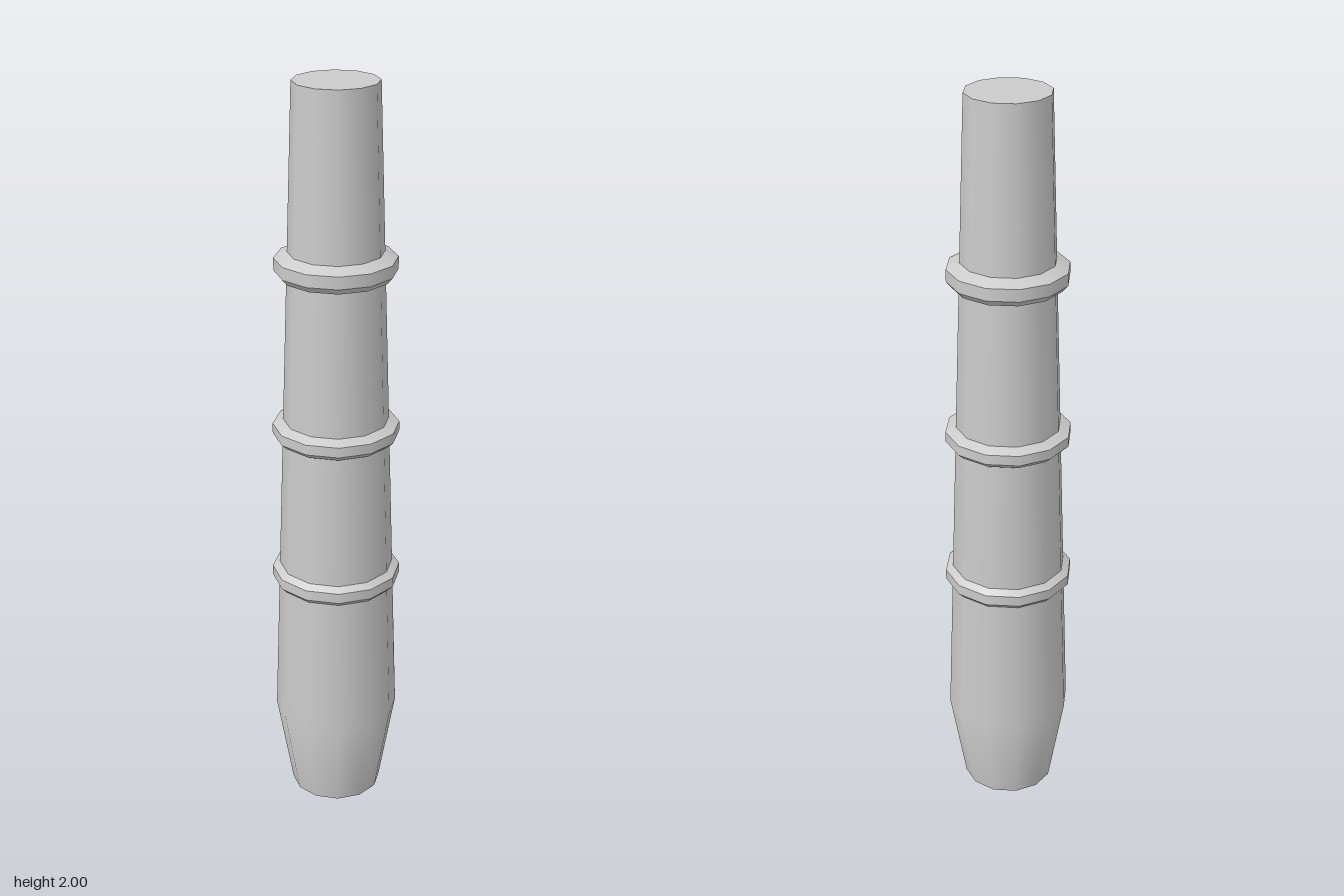
import * as THREE from 'three';
import { mergeGeometries } from 'three/addons/utils/BufferGeometryUtils.js';

const SIDES = 12;
const material = new THREE.MeshStandardMaterial({ color: 0xcccccc });

// Twelve-sided surface of revolution from [radius, y] points, listed bottom to top
const lathe = (points) =>
  new THREE.LatheGeometry(points.map(([r, y]) => new THREE.Vector2(r, y)), SIDES);

// Same, but with a sharp edge between neighbouring bands
const sharpLathe = (points) =>
  mergeGeometries(points.slice(1).map((p, i) => lathe([points[i], p])));

// Radius of the tapering shaft at height y
const shaftRadius = (y) => THREE.MathUtils.lerp(0.166, 0.11, (y - 0.25) / 1.75);

export function createModel() {
  const group = new THREE.Group();
  const add = (name, geometry) => {
    const mesh = new THREE.Mesh(geometry, material);
    mesh.name = name;
    group.add(mesh);
  };

  // Shaft: flared foot, long taper, flat ends
  add('shaft', mergeGeometries([
    lathe([[0.122, 0], [0.166, 0.25], [0.11, 2]]),
    lathe([[0, 0], [0.122, 0]]),
    lathe([[0.11, 2], [0, 2]]),
  ]));

  // Collars: sloped top, upright rim, bevelled underside
  const collars = [
    { name: 'lowerCollar', bottom: 0.64, top: 0.695, radius: 0.171 },
    { name: 'middleCollar', bottom: 1.06, top: 1.114, radius: 0.166 },
    { name: 'upperCollar', bottom: 1.504, top: 1.57, radius: 0.158 },
  ];
  for (const { name, bottom, top, radius } of collars) {
    const h = top - bottom;
    add(name, sharpLathe([
      [shaftRadius(bottom) - 0.005, bottom],
      [radius - 0.014, bottom],
      [radius, bottom + h * 0.25],
      [radius, bottom + h * 0.75],
      [shaftRadius(top) - 0.002, top],
    ]));
  }
  return group;
}
